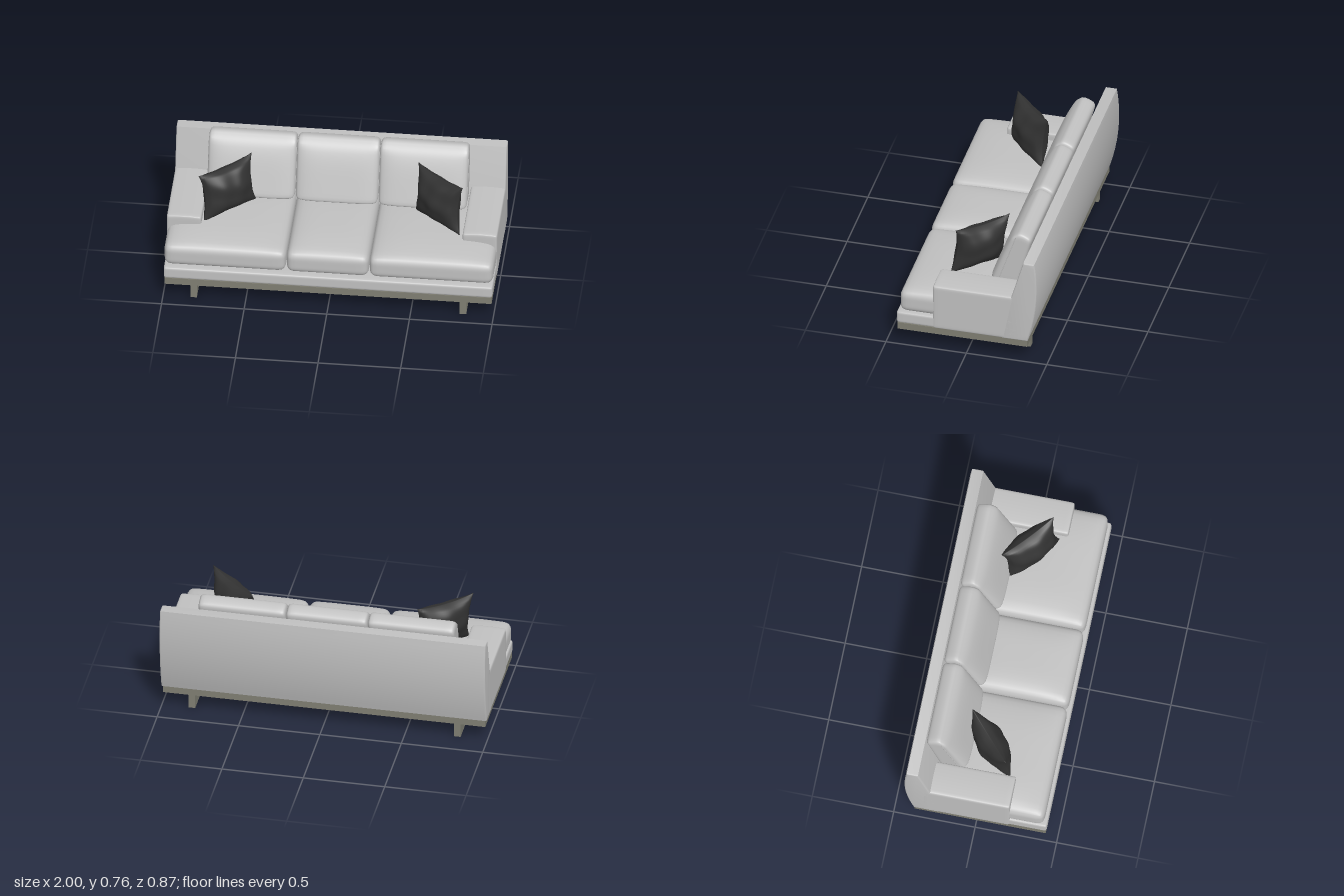
import * as THREE from 'three';
import { mergeVertices, toCreasedNormals } from 'three/addons/utils/BufferGeometryUtils.js';

const fabric = new THREE.MeshStandardMaterial({ color: 0xc0c0c0 });
fabric.name = 'light grey upholstery';
const wood = new THREE.MeshStandardMaterial({ color: 0x7f7e72 });
wood.name = 'grey-brown wood';
const darkFabric = new THREE.MeshStandardMaterial({ color: 0x323232 });
darkFabric.name = 'charcoal fabric';

const { lerp, clamp } = THREE.MathUtils;

// Move every vertex by a rule, weld the seams and smooth the normals.
function deform(geometry, rule) {
  geometry.deleteAttribute('uv');
  geometry.deleteAttribute('normal');
  const pos = geometry.attributes.position;
  const p = new THREE.Vector3();
  for (let i = 0; i < pos.count; i++) {
    p.fromBufferAttribute(pos, i);
    rule(p);
    pos.setXYZ(i, p.x, p.y, p.z);
  }
  const welded = mergeVertices(geometry, 1e-5);
  welded.computeVertexNormals();
  return welded;
}

// Upholstered box: rounded edges, vertices gathered near the edges, optional shaping rule.
function softBox(w, h, d, r, shape = () => {}, segments = 18) {
  const half = new THREE.Vector3(w / 2, h / 2, d / 2);
  const inner = new THREE.Vector3();
  return deform(new THREE.BoxGeometry(w, h, d, segments, segments, segments), (p) => {
    for (const a of ['x', 'y', 'z']) {
      p[a] = half[a] * Math.sin((p[a] / half[a]) * Math.PI / 2);
      const limit = half[a] - r;
      inner[a] = clamp(p[a], -limit, limit);
    }
    p.sub(inner).setLength(r).add(inner);
    shape(p);
  });
}

function add(parent, name, geometry, material, x = 0, y = 0, z = 0) {
  const mesh = new THREE.Mesh(geometry, material);
  mesh.name = name;
  mesh.position.set(x, y, z);
  parent.add(mesh);
  return mesh;
}

// Seat cushion with a crowned top.
function seatCushion(w) {
  const h = 0.145, d = 0.70;
  return softBox(w, h, d, 0.045, (p) => {
    const u = (2 * p.x) / w, v = (2 * p.z) / d;
    const top = clamp(p.y / h + 0.5, 0, 1);
    p.y += 0.033 * top * (1 - u ** 4) * (1 - Math.abs(v) ** 3);
  });
}

// Side-profile lines of a back cushion: rear face and front seam, bottom to top.
const rearZ = (t) => lerp(-0.262, -0.35, t);
const seamZ = (t) => lerp(-0.135, -0.26, t);

// Leaning back cushion, fuller at the front.
function backCushion(w) {
  const h = 0.36, d = 0.18;
  return softBox(w, h, d, 0.03, (p) => {
    const u = (2 * p.x) / w;
    const t = p.y / h + 0.5, s = p.z / d + 0.5;
    const rise = 0.33 + 0.035 * Math.sin(Math.min(1, s / 0.65) * Math.PI / 2)
      - 0.03 * Math.max(0, s - 0.65) / 0.35;
    const full = (1 - u ** 6) * (1 - t ** 6);
    p.z = lerp(rearZ(t), seamZ(t) + 0.038, s) + 0.02 * s * full;
    p.y = 0.395 + t * rise;
  });
}

// Throw pillow: puffed square with pulled corners and soft creases.
function pillow(phase) {
  const n = 28;
  return deform(new THREE.BoxGeometry(2, 2, 2, n, n, 2), (p) => {
    const u = p.x, v = p.y, side = p.z;
    const a = 1 - u * u, b = 1 - v * v;
    const puff = Math.pow(Math.max(0, a * b), 0.55);
    const crease = 0.007 * Math.sin(5 * u + 3 * v + phase) * Math.sin(4 * v - 3 * u + 2 * phase);
    p.x = u * 0.195 * (1 - 0.15 * b);
    p.y = v * 0.162 * (1 - 0.13 * a);
    p.z = side * (0.003 + 0.085 * puff) + crease * Math.sqrt(puff);
  });
}

export function createModel() {
  const sofa = new THREE.Group();
  sofa.name = 'sofa';

  // Wooden platform and runner legs
  add(sofa, 'platform', new THREE.BoxGeometry(1.98, 0.044, 0.807), wood, 0, 0.123, 0.028);
  for (const side of [-1, 1]) {
    add(sofa, side > 0 ? 'leftLeg' : 'rightLeg',
      new THREE.BoxGeometry(0.04, 0.102, 0.77), wood, side * 0.815, 0.051, 0.028);
  }

  // Upholstered base
  add(sofa, 'base', softBox(1.99, 0.08, 0.76, 0.016), fabric, 0, 0.185, 0.057);

  // Full-width backrest with a curved rear face
  const profile = new THREE.Shape();
  profile.moveTo(-0.22, 0.145);
  profile.lineTo(-0.277, 0.445);
  profile.lineTo(-0.352, 0.702);
  profile.lineTo(-0.421, 0.702);
  profile.bezierCurveTo(-0.448, 0.53, -0.438, 0.34, -0.378, 0.145);
  profile.closePath();
  const bevel = 0.009;
  const backGeometry = new THREE.ExtrudeGeometry(profile, {
    depth: 2 - 2 * bevel, curveSegments: 16, bevelEnabled: true,
    bevelSize: bevel, bevelThickness: bevel, bevelOffset: -bevel, bevelSegments: 3,
  });
  backGeometry.translate(0, 0, -(1 - bevel)).rotateY(-Math.PI / 2);
  add(sofa, 'backrest', toCreasedNormals(backGeometry, 0.6), fabric);

  // Armrests
  for (const side of [-1, 1]) {
    add(sofa, side > 0 ? 'leftArm' : 'rightArm',
      softBox(0.21, 0.30, 0.54, 0.014, (p) => {
        const top = clamp(p.y / 0.3 + 0.5, 0, 1);
        p.y += 0.006 * top * (1 - (p.x / 0.105) ** 2);
      }), fabric, side * 0.895, 0.295, -0.06);
  }

  // Seat cushions: the outer pair runs in front of the arms
  const seats = [['right', -0.995, -0.259], ['middle', -0.255, 0.243], ['left', 0.247, 0.995]];
  for (const [name, x0, x1] of seats) {
    add(sofa, name + 'SeatCushion', seatCushion(x1 - x0), fabric, (x0 + x1) / 2, 0.298, 0.07);
  }

  // Back cushions with piping along the front seam
  const backs = [['right', -0.79, -0.259], ['middle', -0.254, 0.243], ['left', 0.248, 0.782]];
  for (const [name, x0, x1] of backs) {
    const w = x1 - x0, x = (x0 + x1) / 2;
    add(sofa, name + 'BackCushion', backCushion(w), fabric, x);
    const e = w / 2 - 0.001;
    for (const side of [-1, 1]) {
      const seam = new THREE.LineCurve3(
        new THREE.Vector3(side * e, 0.42, seamZ(0.07)),
        new THREE.Vector3(side * e, 0.735, seamZ(0.93)));
      add(sofa, name + 'CushionPiping', new THREE.TubeGeometry(seam, 1, 0.003, 6), fabric, x);
    }
  }

  // Throw pillows, turned inward and leaning back
  for (const side of [-1, 1]) {
    const cushion = add(sofa, side > 0 ? 'leftPillow' : 'rightPillow', pillow(side > 0 ? 1 : 2.6),
      darkFabric, side * (side > 0 ? 0.628 : 0.65), 0.552, side > 0 ? 0.012 : 0.03);
    cushion.rotation.set(-0.12, -side * 0.73, side > 0 ? 0.05 : 0.02, 'YXZ');
  }

  return sofa;
}
